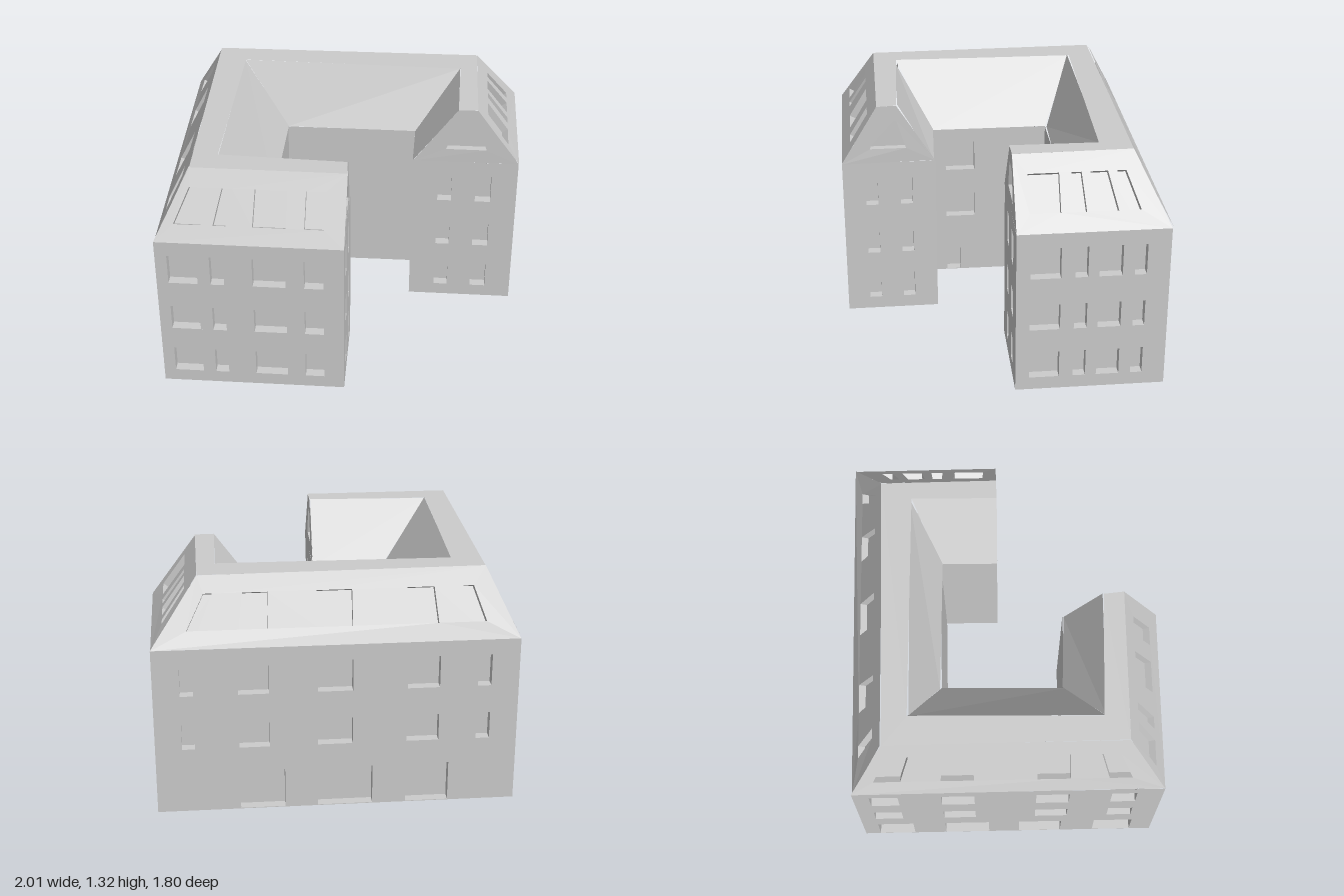
import * as THREE from 'three';

const EAVE = 0.965, TOP = 1.315;
const grey = new THREE.MeshStandardMaterial({ color: 0xcccccc, flatShading: true });

// Storey heights, shared by every facade
const ROWS = [[0.075, 0.235], [0.378, 0.533], [0.695, 0.878]];
const ATTIC = [1.052, 1.225];
const SLANT_REACH = 0.55;

// Plan corners in order; each starts the facade running to the next corner.
// Columns and doors are [from, to] along the facade's axis.
const FACADES = [
  { name: 'westFacade', eave: [-1, -0.83], top: [-0.82, -0.645], axis: 'z', roof: 'windows',
    columns: [[-0.74, -0.58], [-0.34, -0.155], [0.19, 0.375], [0.61, 0.75]],
    doors: [[-0.74, -0.53], [-0.34, -0.08], [0.1, 0.35], [0.545, 0.77]] },
  { name: 'southFacade', eave: [-0.935, 0.895], top: [-0.76, 0.68], axis: 'x', roof: 'windows',
    columns: [[-0.87, -0.71], [-0.64, -0.565], [-0.41, -0.23], [-0.13, -0.025]] },
  { name: 'southWingEnd', eave: [0.087, 0.86], top: [0.085, 0.652], axis: 'z', roof: 'gable',
    columns: [[0.46, 0.53], [0.66, 0.73]] },
  { name: 'courtSouth', eave: [0.066, 0.325], top: [0.07, 0.54], axis: 'x' },
  { name: 'courtWest', eave: [-0.36, 0.34], top: [-0.63, 0.54], axis: 'z',
    columns: [[0.08, 0.255]], doors: [[0.17, 0.255]], doorTop: 0.15 },
  { name: 'courtNorth', eave: [-0.38, -0.35], top: [-0.65, -0.515], axis: 'x' },
  { name: 'courtEast', eave: [0.38, -0.38], top: [0.63, -0.54], axis: 'z' },
  { name: 'eastWingEnd', eave: [0.39, -0.055], top: [0.64, -0.06], axis: 'x', roof: 'gable',
    columns: [[0.54, 0.62], [0.76, 0.85]] },
  { name: 'eastFacade', eave: [1, -0.075], top: [0.75, -0.067], axis: 'z', roof: 'windows',
    columns: [[-0.15, -0.315], [-0.39, -0.46], [-0.52, -0.645], [-0.71, -0.775]] },
  { name: 'northFacade', eave: [0.97, -0.9], top: [0.72, -0.715], axis: 'x', roof: 'windows',
    columns: [[0.755, 0.825], [0.35, 0.515], [-0.1, 0.09], [-0.57, -0.395], [-0.85, -0.775]],
    doors: [[0.27, 0.515], [-0.21, 0.09], [-0.63, -0.395]] },
];

const at = ([x, z], y) => new THREE.Vector3(x, y, z);
const lerp = THREE.MathUtils.lerp;

// Openings are four [position along axis, height] corners.
// Wall: rectangles in every storey, doors replacing the ground floor windows
function wallOpenings({ columns = [], doors = [], doorTop = 0.235 }) {
  const rect = ([l, r], [y0, y1]) => [[l, y0], [r, y0], [r, y1], [l, y1]];
  const rows = doors.length ? ROWS.slice(1) : ROWS;
  return [...rows.flatMap(row => columns.map(c => rect(c, row))),
    ...doors.map(d => rect(d, [0.004, doorTop]))];
}

// Roof: windows above the wall columns, leaning with the hips near the ends;
// a gable has one window tapering like the gable itself
function roofOpenings({ roof, columns, axis }, [a, b, c, d]) {
  if (!roof) return [];
  const rise = y => (y - EAVE) / (TOP - EAVE);
  const pull = (t, eave, top) =>
    (top[axis] - eave[axis]) * Math.max(0, 1 - Math.abs(t - eave[axis]) / SLANT_REACH);
  const lean = (t, y) => t + rise(y) * (pull(t, a, d) + pull(t, b, c));
  const taper = (s, y) =>
    lerp(lerp(a[axis], d[axis], rise(y)), lerp(b[axis], c[axis], rise(y)), s);
  const place = roof === 'gable' ? taper : lean;
  const spans = roof === 'gable' ? [[0.26, 0.74]] : columns;
  const [y0, y1] = ATTIC;
  return spans.map(([l, r]) =>
    [[l, y0], [r, y0], [r, y1], [l, y1]].map(([t, y]) => [place(t, y), y]));
}

function mesh(name, geometry) {
  const m = new THREE.Mesh(geometry, grey);
  m.name = name;
  return m;
}

// Reveals and back panes of all openings in one panel
function recessGeometry(holes, depth) {
  const pos = [];
  const quad = (...q) => [0, 1, 2, 0, 2, 3].forEach(i => pos.push(q[i].x, q[i].y, q[i].z));
  for (const hole of holes) {
    const front = hole.map(p => new THREE.Vector3(p.x, p.y, 0));
    const back = hole.map(p => new THREE.Vector3(p.x, p.y, -depth));
    front.forEach((p, i) => {
      const j = (i + 1) % 4;
      quad(p, front[j], back[j], back[i]);
    });
    quad(...back);
  }
  const g = new THREE.BufferGeometry();
  g.setAttribute('position', new THREE.Float32BufferAttribute(pos, 3));
  g.computeVertexNormals();
  return g;
}

// Four-cornered panel (counter-clockwise from outside) with recessed openings
function panel(name, corners, axis, openings, depth) {
  const [a, b, c, d] = corners;
  const u = b.clone().sub(a).normalize();
  const n = c.clone().sub(a).cross(d.clone().sub(b));
  const v = n.cross(u).normalize();
  const frame = new THREE.Matrix4().makeBasis(u, v, u.clone().cross(v)).setPosition(a);
  const inverse = frame.clone().invert();
  const local = corners.map(p => p.clone().applyMatrix4(inverse));

  const toPlane = ([t, y]) => {
    const h = (y - a.y) / v.y;
    return new THREE.Vector2((t - a[axis] - h * v[axis]) / u[axis], h);
  };
  const holes = openings.map(opening => {
    const pts = opening.map(toPlane);
    return THREE.ShapeUtils.area(pts) < 0 ? pts.reverse() : pts;
  });

  const shape = new THREE.Shape(local.map(p => new THREE.Vector2(p.x, p.y)));
  shape.holes = holes.map(h => new THREE.Path(h));
  const surface = new THREE.ShapeGeometry(shape);
  // keep the corners exact where a slope is slightly twisted
  local.forEach((p, i) => surface.attributes.position.setZ(i, p.z));
  surface.applyMatrix4(frame);
  surface.computeVertexNormals();

  const group = new THREE.Group();
  group.name = name;
  group.add(mesh('surface', surface));
  if (holes.length) group.add(mesh('windowRecesses', recessGeometry(holes, depth).applyMatrix4(frame)));
  return group;
}

// Horizontal face following the plan
function flat(name, points, y, up) {
  const s = up ? -1 : 1;
  const g = new THREE.ShapeGeometry(new THREE.Shape(points.map(([x, z]) => new THREE.Vector2(x, s * z))));
  return mesh(name, g.rotateX(s * Math.PI / 2).translate(0, y, 0));
}

export function createModel() {
  const model = new THREE.Group();
  model.name = 'courtyardBuilding';
  FACADES.forEach((f, i) => {
    const next = FACADES[(i + 1) % FACADES.length];
    const wall = [at(f.eave, 0), at(next.eave, 0), at(next.eave, EAVE), at(f.eave, EAVE)];
    const slope = [at(f.eave, EAVE), at(next.eave, EAVE), at(next.top, TOP), at(f.top, TOP)];
    const side = new THREE.Group();
    side.name = f.name;
    // vertical wall, then the roof slope or gable above it
    side.add(panel('wall', wall, f.axis, wallOpenings(f), 0.055));
    side.add(panel('roofSlope', slope, f.axis, roofOpenings(f, slope), 0.04));
    model.add(side);
  });
  model.add(flat('flatRoof', FACADES.map(f => f.top), TOP, true));
  model.add(flat('base', FACADES.map(f => f.eave), 0, false));
  return model;
}
